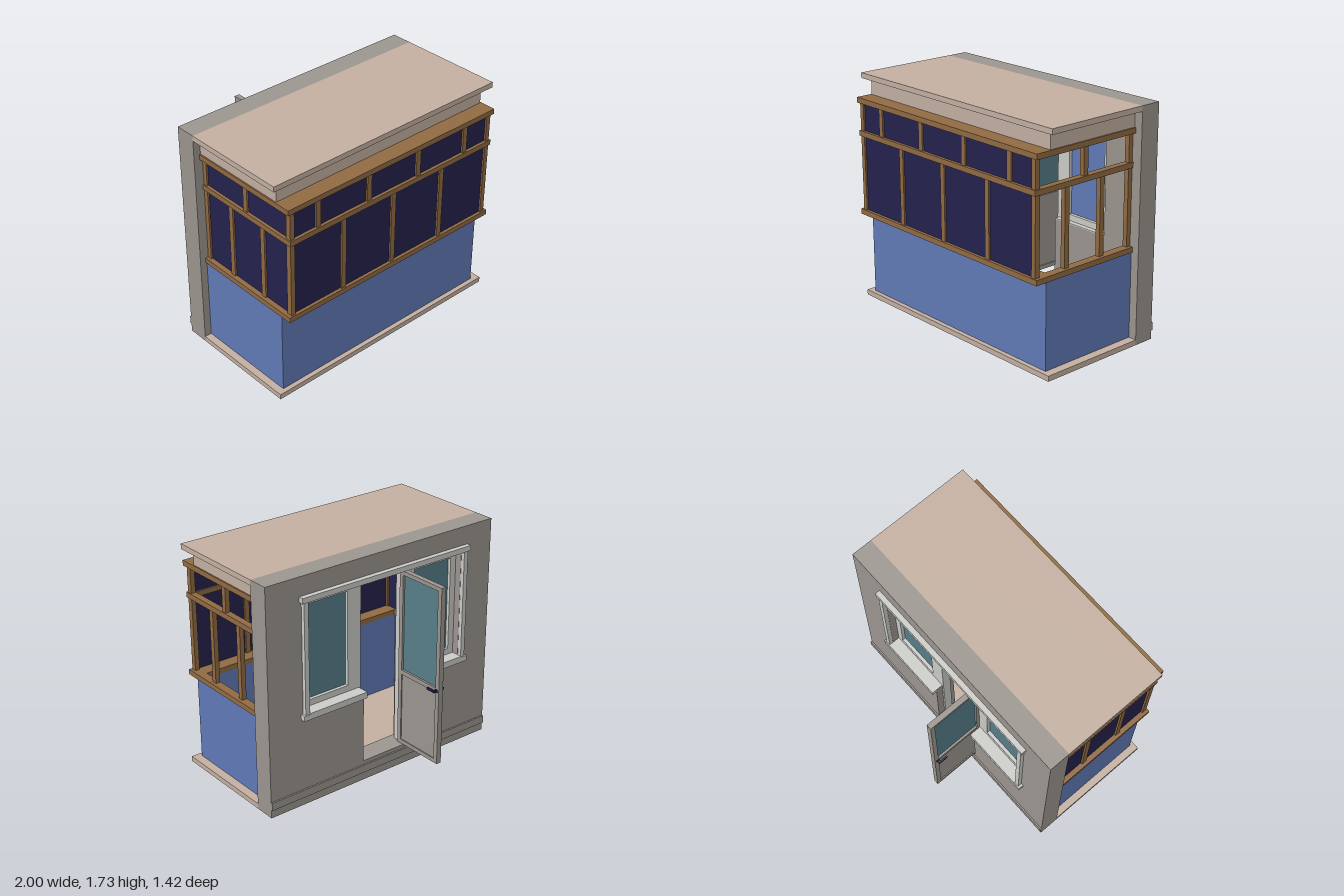
import * as THREE from 'three';

const mat = (name, color) => {
  const m = new THREE.MeshStandardMaterial({ color });
  m.name = name;
  return m;
};

export function createModel() {
  const root = new THREE.Group();
  root.name = 'balcony';
  const wallGrey = mat('wallGrey', 0x9b958f);
  const trim = mat('lightTrim', 0xcbcbc7);
  const tan = mat('tanPlaster', 0xc3afa1);
  const wood = mat('wood', 0x906a43);
  const navy = mat('navyPane', 0x24214c);
  const blue = mat('bluePanel', 0x6079b6);
  const teal = mat('tealGlass', 0x577d89);

  // Box given by its two extreme corners
  const box = (parent, name, m, x0, x1, y0, y1, z0, z1) => {
    const mesh = new THREE.Mesh(new THREE.BoxGeometry(x1 - x0, y1 - y0, z1 - z0), m);
    mesh.position.set((x0 + x1) / 2, (y0 + y1) / 2, (z0 + z1) / 2);
    mesh.name = name;
    parent.add(mesh);
    return mesh;
  };
  const group = (name) => {
    const g = new THREE.Group();
    g.name = name;
    root.add(g);
    return g;
  };

  const CX = -0.005;                    // middle of the glazed box
  const WB = -0.345, WF = -0.185;       // back and front of the house wall
  const HEAD = 1.55, SILL = 0.72, STEP = 0.155;

  // House wall with one opening for the door and both windows
  const outline = new THREE.Shape([[-1, 0], [1, 0], [1, 1.73], [-1, 1.73]].map((p) => new THREE.Vector2(...p)));
  outline.holes.push(new THREE.Path([
    [-0.715, SILL], [-0.715, HEAD], [0.675, HEAD], [0.675, SILL],
    [0.18, SILL], [0.18, STEP], [-0.24, STEP], [-0.24, SILL],
  ].map((p) => new THREE.Vector2(...p))));
  const wall = new THREE.Mesh(new THREE.ExtrudeGeometry(outline, { depth: WF - WB, bevelEnabled: false }), wallGrey);
  wall.position.z = WB;
  wall.name = 'houseWall';
  root.add(wall);
  box(root, 'wallPlinth', wallGrey, -1, 1, 0.065, 0.125, -0.357, WB);

  // Floor and roof
  box(root, 'floorSlab', tan, -1, 1, 0, 0.04, WF, 0.655);
  box(root, 'roofSlab', tan, -1, 1, 1.69, 1.73, WF, 0.637);

  // Parapet and the band under the roof, each open at the back
  const shell = (name, m, y0, y1, zf, hw, t) => {
    const g = group(name);
    box(g, name + 'Front', m, CX - hw, CX + hw, y0, y1, zf - t, zf);
    for (const s of [-1, 1]) {
      const a = CX + s * hw, b = CX + s * (hw - t);
      box(g, name + 'Side', m, Math.min(a, b), Math.max(a, b), y0, y1, WF, zf - t);
    }
  };
  shell('parapet', blue, 0.04, 0.68, 0.62, 0.94, 0.04);
  shell('roofBand', tan, 1.57, 1.69, 0.59, 0.94, 0.04);

  // Wooden rails around three sides
  const frame = group('woodFrame');
  for (const [y0, y1, hw, zIn] of [[0.68, 0.72, 0.95, 0.58], [1.285, 1.325, 0.935, 0.67], [1.53, 1.57, 0.95, 0.58]]) {
    box(frame, 'frontRail', wood, CX - hw, CX + hw, y0, y1, zIn, 0.715);
    for (const s of [-1, 1]) {
      const a = CX + s * hw, b = CX + s * 0.885;
      box(frame, 'sideRail', wood, Math.min(a, b), Math.max(a, b), y0, y1, WF, zIn);
    }
  }
  // Front posts
  for (const x of [-0.465, -0.01, 0.45]) box(frame, 'frontPost', wood, x - 0.02, x + 0.02, 0.72, 1.285, 0.67, 0.705);
  for (const x of [-0.69, -0.24, 0.215, 0.67]) box(frame, 'upperFrontPost', wood, x - 0.02, x + 0.02, 1.325, 1.53, 0.67, 0.705);
  // Corner, side and rear posts
  for (const s of [-1, 1]) {
    const x = CX + s * 0.908, p = 0.018;
    box(frame, 'cornerPost', wood, x - p, x + p, 0.72, 1.53, 0.665, 0.705);
    box(frame, 'rearPost', wood, x - p, x + p, 0.72, 1.53, WF, -0.15);
    for (const z of [0.422, 0.097]) box(frame, 'sidePost', wood, x - p, x + p, 0.72, 1.285, z - 0.02, z + 0.02);
    box(frame, 'upperSidePost', wood, x - p, x + p, 1.325, 1.53, 0.235, 0.275);
  }

  // Dark panes on the front and on the right-hand side only
  for (const [y0, y1] of [[0.72, 1.285], [1.325, 1.53]]) {
    box(root, 'frontPane', navy, CX - 0.9, CX + 0.9, y0, y1, 0.684, 0.692);
    box(root, 'sidePane', navy, CX - 0.912, CX - 0.904, y0, y1, -0.17, 0.68);
  }

  // Windows beside the door
  const windowUnit = (name, x0, x1) => {
    const g = group(name), z0 = -0.29, z1 = -0.225, out = x1 > 0;
    const l = x0 + (out ? 0.085 : 0.05), r = x1 - (out ? 0.05 : 0.085);
    box(g, 'windowJamb', trim, x0, l, SILL, HEAD, z0, z1);
    box(g, 'windowJamb', trim, r, x1, SILL, HEAD, z0, z1);
    box(g, 'windowHead', trim, l, r, 1.49, HEAD, z0, z1);
    box(g, 'windowFoot', trim, l, r, SILL, 0.775, z0, z1);
    box(g, 'outerGlass', teal, l, r, 0.775, 1.49, -0.265, -0.258);
    box(g, 'innerGlass', blue, l, r, 0.775, 1.49, -0.258, -0.251);
  };
  windowUnit('leftWindow', 0.195, 0.675);
  windowUnit('rightWindow', -0.715, -0.235);

  // Outside trim: lintel, sills and narrow upright strips
  box(root, 'lintel', trim, -0.77, 0.73, HEAD, 1.59, -0.383, WB);
  for (const [x0, x1] of [[-0.77, -0.24], [0.18, 0.73]]) {
    box(root, 'windowSill', trim, x0, x1, 0.68, SILL, -0.383, WB);
    box(root, 'sillBoard', trim, Math.max(x0, -0.714), Math.min(x1, 0.674), SILL, 0.728, -0.383, WF);
  }
  for (const x of [-0.735, 0.695]) box(root, 'trimStrip', trim, x - 0.018, x + 0.018, SILL, HEAD, -0.375, WB);

  // Door frame
  box(root, 'doorJamb', trim, 0.165, 0.195, STEP, HEAD, -0.29, -0.225);
  box(root, 'doorJamb', trim, -0.24, -0.21, STEP, HEAD, -0.275, -0.225);
  box(root, 'doorHead', trim, -0.21, 0.165, 1.52, HEAD, -0.29, -0.225);

  // Door leaf standing open
  const door = group('door');
  const dx0 = -0.235, dx1 = -0.195, dz0 = -0.71, dz1 = -0.28;
  for (const [z0, z1] of [[dz0, dz0 + 0.035], [dz1 - 0.035, dz1]]) box(door, 'doorStile', wallGrey, dx0, dx1, STEP, 1.52, z0, z1);
  for (const [y0, y1] of [[STEP, 0.187], [0.72, 0.755], [1.49, 1.52]]) box(door, 'doorRail', wallGrey, dx0, dx1, y0, y1, dz0 + 0.035, dz1 - 0.035);
  box(door, 'doorPanel', wallGrey, -0.227, -0.203, 0.187, 0.72, dz0 + 0.035, dz1 - 0.035);
  box(door, 'doorGlass', teal, -0.219, -0.211, 0.755, 1.49, dz0 + 0.035, dz1 - 0.035);

  // Door handles
  box(door, 'handleSpindle', navy, -0.262, -0.168, 0.728, 0.744, -0.692, -0.676);
  for (const s of [-1, 1]) {
    const x = -0.215 + s * 0.042;
    box(door, 'handleLever', navy, x - 0.006, x + 0.006, 0.728, 0.744, -0.69, -0.615);
    box(door, 'handlePlate', navy, -0.215 + s * 0.022 - 0.003, -0.215 + s * 0.022 + 0.003, 0.724, 0.748, -0.696, -0.672);
  }
  return root;
}
